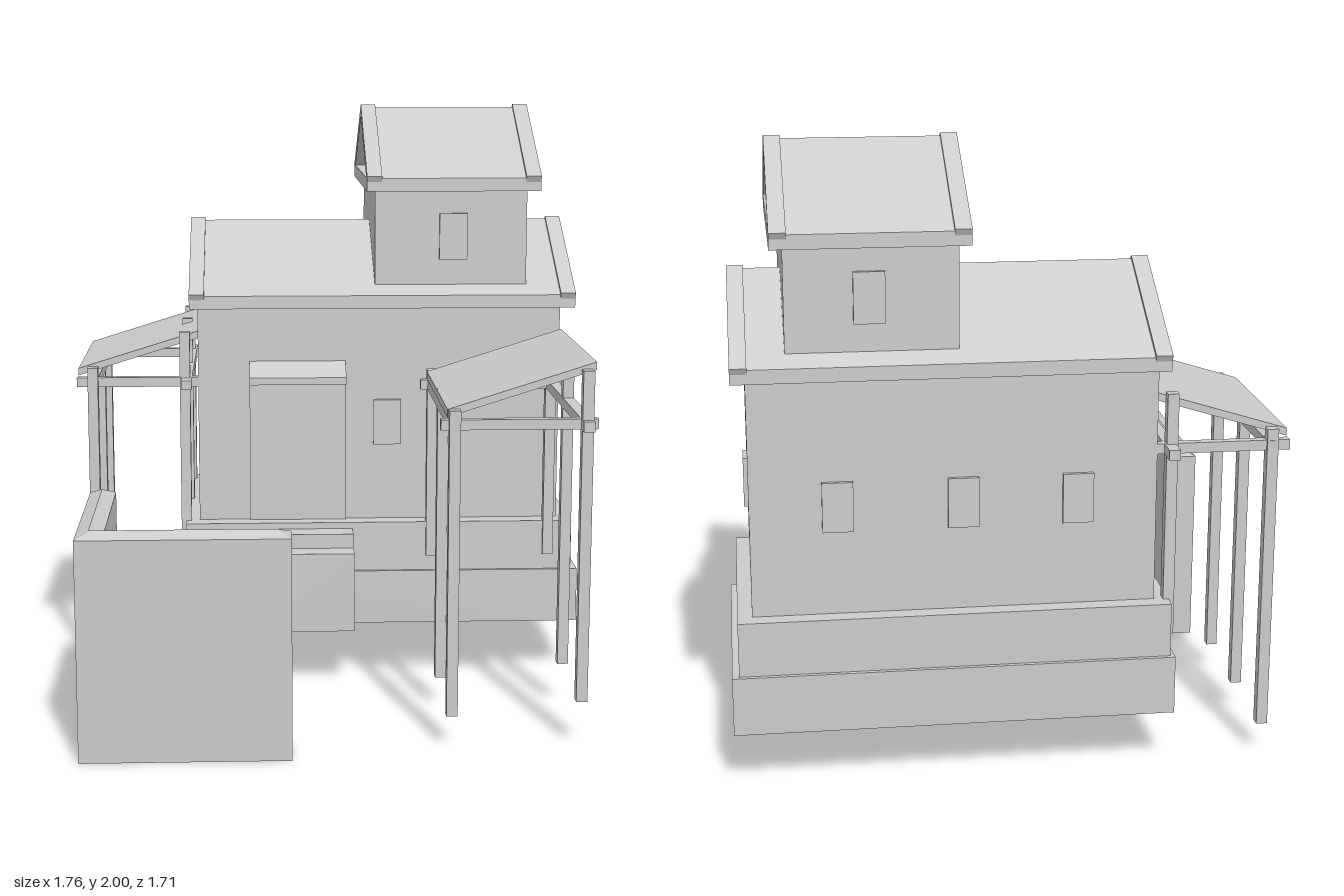
import * as THREE from 'three';

const grey = new THREE.MeshStandardMaterial({ color: 0xcccccc, flatShading: true });

function add(parent, name, geometry, material = grey) {
  const mesh = new THREE.Mesh(geometry, material);
  mesh.name = name;
  parent.add(mesh);
  return mesh;
}

// Box geometry from its limits on each axis
function span(x0, x1, y0, y1, z0, z1) {
  return new THREE.BoxGeometry(x1 - x0, y1 - y0, z1 - z0)
    .translate((x0 + x1) / 2, (y0 + y1) / 2, (z0 + z1) / 2);
}

// Lift vertices in proportion to their distance along one axis
function shear(geometry, axis, from, slope) {
  const p = geometry.attributes.position;
  for (let i = 0; i < p.count; i++) {
    const d = axis === 'x' ? p.getX(i) : p.getZ(i);
    p.setY(i, p.getY(i) + (d - from) * slope);
  }
  geometry.computeVertexNormals();
  return geometry;
}

// Profile in the z-y plane, extruded along x (profiles are symmetric)
const ZC = -0.435;
function alongX(points, x0, x1, y) {
  const shape = new THREE.Shape(points.map(([a, b]) => new THREE.Vector2(a, b)));
  return new THREE.ExtrudeGeometry(shape, { depth: x1 - x0, bevelEnabled: false })
    .rotateY(Math.PI / 2).translate(x0, y, ZC);
}

// Gable roof: eave slab, roof prism and raised rake trim at both ends
function gableRoof(name, x0, x1, y) {
  const g = new THREE.Group();
  g.name = name;
  add(g, 'eaveSlab', span(x0, x1, y, y + 0.045, ZC - 0.4, ZC + 0.4));
  add(g, 'roofPrism', alongX([[-0.4, 0.045], [0.4, 0.045], [0, 0.275]], x0 + 0.052, x1 - 0.052, y));
  const chevron = [[-0.41, 0.052], [-0.395, 0.022], [0, 0.243], [0.395, 0.022], [0.41, 0.052], [0, 0.285]];
  for (const x of [x0, x1 - 0.052]) add(g, 'rakeTrim', alongX(chevron, x, x + 0.052, y));
  return g;
}

// Low hipped coping over a wall
function hipCap(x0, x1, z0, z1, y, h) {
  const t = Math.min(x1 - x0, z1 - z0) / 2;
  const a = [x0, y, z0], b = [x1, y, z0], c = [x1, y, z1], d = [x0, y, z1];
  const alongXAxis = x1 - x0 > z1 - z0;
  const r = [x0 + t, y + h, z0 + t], s = [x1 - t, y + h, z1 - t];
  const tris = alongXAxis
    ? [d, c, s, d, s, r, b, a, r, b, r, s, a, d, r, c, b, s]
    : [c, b, r, c, r, s, a, d, s, a, s, r, b, a, r, d, c, s];
  const g = new THREE.BufferGeometry();
  g.setAttribute('position', new THREE.Float32BufferAttribute(tris.flat(), 3));
  g.computeVertexNormals();
  return g;
}

// Lean-to: posts, beams and a sloping roof
function canopy({ name, posts, beamsX, beamsZ, roof, slope }) {
  const g = new THREE.Group();
  g.name = name;
  for (const [x, z, y0, y1] of posts)
    add(g, 'post', span(x - 0.018, x + 0.018, y0, y1, z - 0.018, z + 0.018));
  for (const [x0, x1, z] of beamsX)
    add(g, 'crossBeam', span(x0, x1, 1.03, 1.063, z - 0.015, z + 0.015));
  for (const [z0, z1, x] of beamsZ)
    add(g, 'sideBeam', span(x - 0.018, x + 0.018, 1.03, 1.063, z0, z1));
  const [x0, x1, z0, z1] = roof;
  add(g, 'canopyRoof', shear(span(x0, x1, 1.068, 1.093, z0, z1), 'x', x0, slope));
  return g;
}

export function createModel() {
  const model = new THREE.Group();

  // Plinth: lower course is hollow underneath
  const outline = new THREE.Shape([
    [-0.52, 0.012], [0.88, 0.012], [0.88, 0.85], [-0.52, 0.85],
  ].map(([x, y]) => new THREE.Vector2(x, y)));
  outline.holes.push(new THREE.Path([
    [-0.503, 0.03], [-0.503, 0.832], [0.856, 0.832], [0.856, 0.03],
  ].map(([x, y]) => new THREE.Vector2(x, y))));
  add(model, 'lowerPlinth', new THREE.ExtrudeGeometry(outline, { depth: 0.19, bevelEnabled: false })
    .rotateX(-Math.PI / 2).translate(0, 0.185, 0));
  add(model, 'upperPlinth', span(-0.506, 0.858, 0.37, 0.55, -0.836, -0.022));

  // House body and tower
  add(model, 'houseBody', span(-0.46, 0.812, 0.55, 1.31, -0.78, -0.087));
  add(model, 'towerBody', span(0.16, 0.69, 1.36, 1.715, -0.778, -0.09));
  model.add(gableRoof('houseRoof', -0.488, 0.857, 1.31));
  model.add(gableRoof('towerRoof', 0.128, 0.73, 1.715));

  // Windows: front, back and side
  const window = (x, y, z, w, d) =>
    add(model, 'window', new THREE.BoxGeometry(w, 0.16, d).translate(x, y, z));
  window(0.205, 0.9, -0.087, 0.097, 0.026);
  for (const x of [0.54, 0.15, -0.21]) window(x, 0.9, -0.78, 0.097, 0.026);
  for (const z of [-0.09, -0.778]) window(0.433, 1.555, z, 0.097, 0.026);
  window(0.812, 0.9, -0.45, 0.026, 0.097);

  // Door, awning and steps
  add(model, 'door', span(-0.28, 0.057, 0.53, 1.07, -0.09, -0.075));
  add(model, 'awning', shear(span(-0.28, 0.057, 1.095, 1.12, -0.09, 0.01), 'z', -0.09, -0.45));
  add(model, 'lowerStep', span(-0.28, 0.08, 0.2, 0.478, -0.05, 0.138));
  add(model, 'upperStep', span(-0.28, 0.08, 0.4, 0.528, -0.05, 0.06));

  // Side canopy against the house
  const sidePosts = [];
  for (const z of [-0.09, -0.435, -0.77])
    sidePosts.push([-0.828, z, 0.1, 1.1], [-0.506, z, 0.43, 1.225]);
  model.add(canopy({
    name: 'sideCanopy', posts: sidePosts,
    beamsX: [[-0.885, -0.46, -0.765], [-0.885, -0.46, -0.105]],
    beamsZ: [[-0.79, -0.08, -0.828], [-0.853, -0.015, -0.5]],
    roof: [-0.88, -0.46, -0.755, -0.115], slope: 0.31,
  }));

  // Front canopy
  const frontPosts = [];
  for (const z of [0.742, 0.353, -0.027]) {
    const low = z < 0 ? 0.43 : 0;
    frontPosts.push([0.358, z, low || 0.105, 1.095], [0.773, z, low || 0.148, 1.218]);
  }
  model.add(canopy({
    name: 'frontCanopy', posts: frontPosts,
    beamsX: [[0.315, 0.81, 0.722], [0.315, 0.81, -0.01]],
    beamsZ: [[-0.06, 0.755, 0.358], [-0.06, 0.785, 0.773]],
    roof: [0.337, 0.803, 0, 0.718], slope: 0.315,
  }));

  // Corner garden wall with ridged coping
  add(model, 'frontWall', span(-0.822, -0.152, 0, 0.717, 0.752, 0.853));
  add(model, 'sideWall', span(-0.822, -0.735, 0.025, 0.717, 0.192, 0.8));
  add(model, 'frontCoping', hipCap(-0.822, -0.152, 0.752, 0.853, 0.717, 0.02));
  add(model, 'sideCoping', hipCap(-0.822, -0.735, 0.192, 0.853, 0.717, 0.02));

  return model;
}
